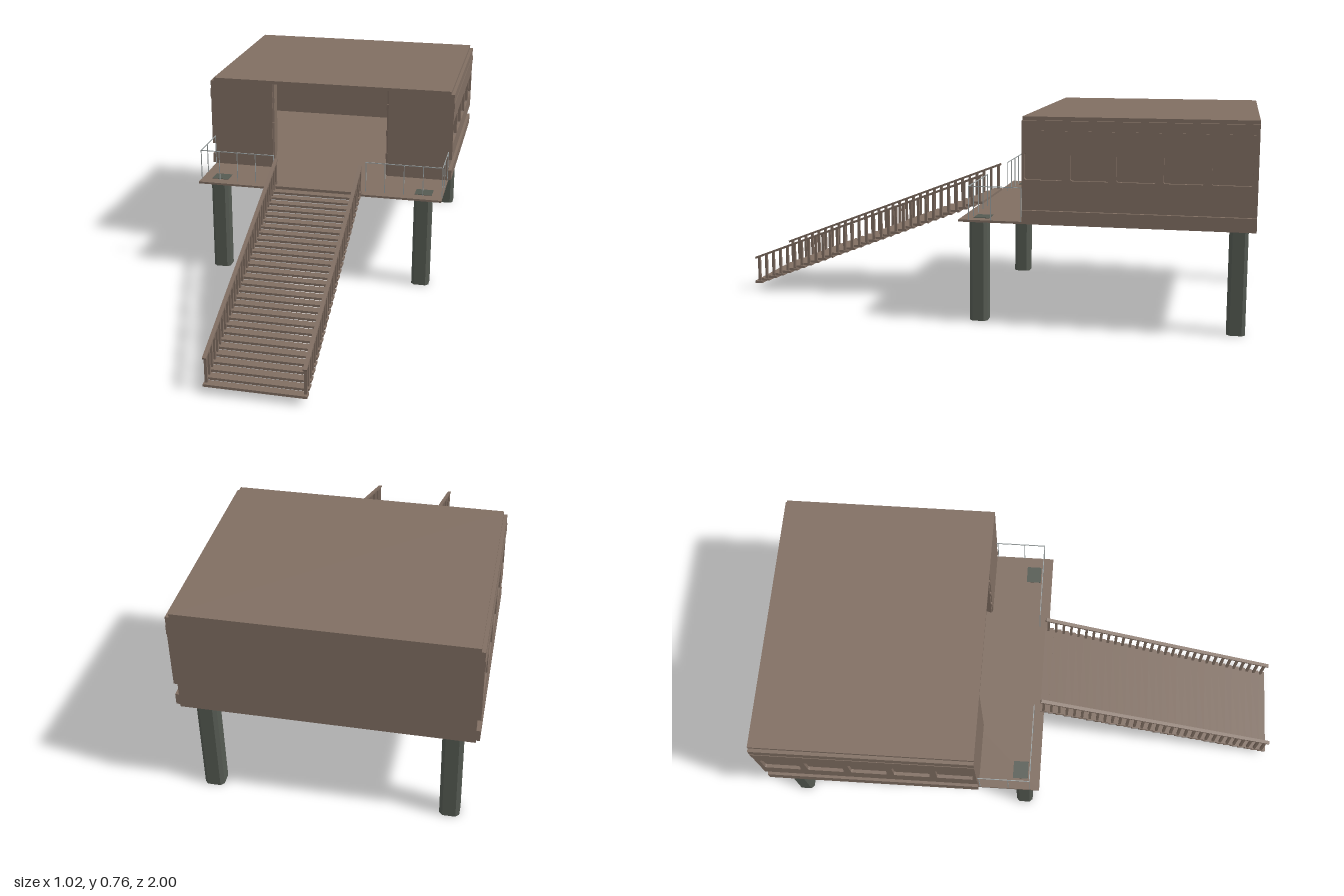
import * as THREE from 'three';

const wood = new THREE.MeshStandardMaterial({ color: 0x806e62 });
const stone = new THREE.MeshStandardMaterial({ color: 0x555a52 });
const metal = new THREE.MeshStandardMaterial({ color: 0x9aa0a0 });

function add(parent, name, geometry, material) {
  const mesh = new THREE.Mesh(geometry, material);
  mesh.name = name;
  parent.add(mesh);
  return mesh;
}

// Box given by its lower and upper limits on each axis
function box(parent, name, [x0, x1], [y0, y1], [z0, z1], material = wood) {
  const mesh = add(parent, name, new THREE.BoxGeometry(x1 - x0, y1 - y0, z1 - z0), material);
  mesh.position.set((x0 + x1) / 2, (y0 + y1) / 2, (z0 + z1) / 2);
  return mesh;
}

// Rectangle outline with cut or rounded corners
function cornered(Type, x0, x1, y0, y1, c) {
  const s = new Type();
  s.moveTo(x0 + c, y0);
  s.lineTo(x1 - c, y0);
  s.lineTo(x1, y0 + c);
  s.lineTo(x1, y1 - c);
  s.lineTo(x1 - c, y1);
  s.lineTo(x0 + c, y1);
  s.lineTo(x0, y1 - c);
  s.lineTo(x0, y0 + c);
  s.closePath();
  return s;
}

// Outer cladding of a side wall, with five recessed windows
function sideCladding(parent, side) {
  const shape = cornered(THREE.Shape, 0.185, 1, 0.475, 0.75, 0);
  for (let i = 0; i < 5; i++) {
    const start = 0.195 + i * 0.1625;
    shape.holes.push(cornered(THREE.Path, start, start + 0.138, 0.54, 0.635, 0.005));
  }
  const geometry = new THREE.ExtrudeGeometry(shape, { depth: 0.013, bevelEnabled: false });
  geometry.rotateY(Math.PI / 2); // shape x becomes -z, depth becomes +x
  geometry.translate(side > 0 ? 0.497 : -0.51, 0, 0);
  add(parent, 'windowPanel', geometry, wood);
  const span = (a, b) => (side > 0 ? [a, b] : [-b, -a]);
  box(parent, 'upperBand', span(0.505, 0.512), [0.68, 0.715], [-1, -0.185]);
  box(parent, 'lowerBand', span(0.49, 0.51), [0.388, 0.43], [-1, -0.185]);
}

// Cabin shell with an open doorway
function cabin() {
  const g = new THREE.Group();
  g.name = 'cabin';
  box(g, 'roof', [-0.497, 0.497], [0.75, 0.763], [-1, -0.185]);
  box(g, 'backWall', [-0.497, 0.497], [0.385, 0.75], [-1, -0.988]);
  for (const s of [-1, 1]) {
    const span = (a, b) => (s > 0 ? [a, b] : [-b, -a]);
    box(g, 'sideWall', span(0.487, 0.497), [0.385, 0.75], [-1, -0.185]);
    box(g, 'frontWall', span(0.245, 0.497), [0.385, 0.75], [-0.195, -0.185]);
    sideCladding(g, s);

    // Door leaf swung inward on its hinge
    const hinge = new THREE.Group();
    hinge.name = 'door';
    hinge.position.set(s * 0.242, 0, -0.19);
    hinge.rotation.y = -s * 0.21;
    box(hinge, 'doorLeaf', [-0.004, 0.004], [0.388, 0.749], [-0.235, 0]);
    for (const y of [0.47, 0.57, 0.68]) {
      box(hinge, 'hinge', [-0.005, 0.005], [y - 0.012, y + 0.012], [-0.004, 0.004]);
    }
    g.add(hinge);
  }
  return g;
}

// Legs with chamfered corners and flat caps on the deck
function legs() {
  const g = new THREE.Group();
  g.name = 'legs';
  for (const x of [-0.42, 0.42]) {
    for (const z of [-0.012, -0.942]) {
      const shape = cornered(THREE.Shape, -0.035, 0.035, -0.033, 0.033, 0.012);
      const geometry = new THREE.ExtrudeGeometry(shape, { depth: 0.38, bevelEnabled: false });
      geometry.rotateX(-Math.PI / 2);
      add(g, 'leg', geometry, stone).position.set(x, 0, z);
    }
    box(g, 'legCap', [x - 0.034, x + 0.034], [0.38, 0.388], [-0.055, 0.003], stone);
  }
  return g;
}

// Thin railing along the front and sides of the deck
function deckRailing() {
  const g = new THREE.Group();
  g.name = 'deckRailing';
  const t = 0.0015;
  for (const s of [-1, 1]) {
    const span = (a, b) => (s > 0 ? [a, b] : [-b, -a]);
    box(g, 'frontRail', span(0.19, 0.497), [0.507, 0.51], [0.012 - t, 0.012 + t], metal);
    box(g, 'sideRail', span(0.494, 0.497), [0.507, 0.51], [-0.185, 0.012], metal);
    for (let i = 0; i < 5; i++) {
      const x = s * (0.19 + i * 0.0764);
      box(g, 'frontPost', [x - t, x + t], [0.385, 0.51], [0.012 - t, 0.012 + t], metal);
    }
    for (const z of [-0.07, -0.18]) {
      box(g, 'sidePost', span(0.494, 0.497), [0.385, 0.51], [z - t, z + t], metal);
    }
  }
  return g;
}

// Straight stair with a baluster at each end of every tread
function stairs() {
  const g = new THREE.Group();
  g.name = 'stairs';
  const count = 31, topZ = 0.035, topY = 0.4, run = 0.965 / count, rise = 0.365 / (count - 1);
  for (let i = 0; i < count; i++) {
    const z = topZ + i * run, y = topY - i * rise;
    box(g, 'tread', [-0.18, 0.18], [y - 0.009, y], [z, z + run + 0.003 * (i < count - 1)]);
    for (const x of [-0.172, 0.172]) {
      box(g, 'baluster', [x - 0.005, x + 0.005], [y - 0.002, y + 0.1], [z + 0.008, z + 0.018]);
    }
  }
  // Sloping handrails
  const length = Math.hypot(0.96, 0.372);
  for (const x of [-0.172, 0.172]) {
    const rail = add(g, 'handrail', new THREE.BoxGeometry(0.014, 0.008, length), wood);
    rail.position.set(x, 0.317, 0.517);
    rail.rotation.x = Math.atan2(0.372, 0.96);
  }
  return g;
}

export function createModel() {
  const model = new THREE.Group();
  model.name = 'stiltCabin';
  box(model, 'deck', [-0.497, 0.497], [0.378, 0.386], [-1, 0.05]);
  model.add(cabin(), legs(), deckRailing(), stairs());
  return model;
}
